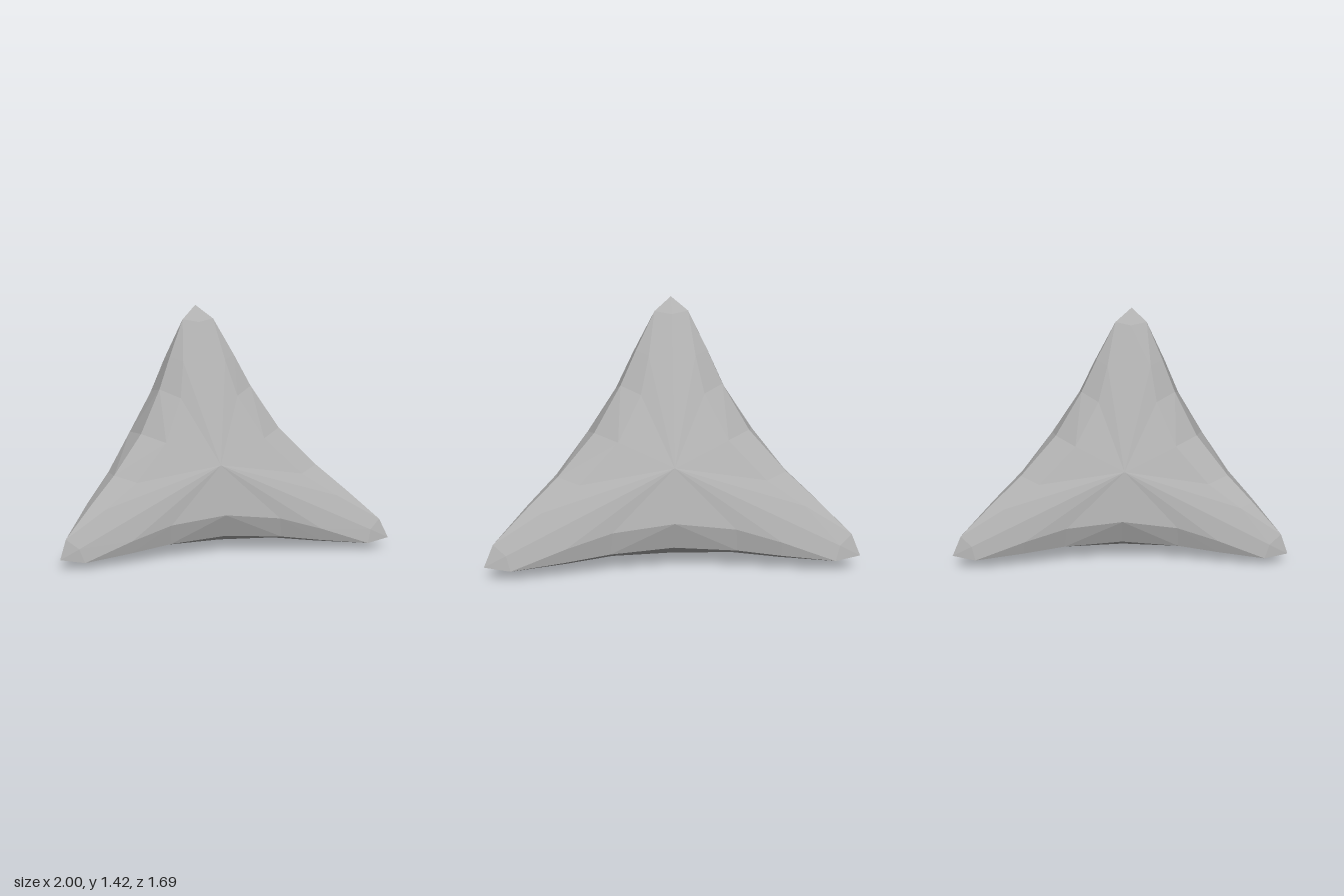
import * as THREE from 'three';

// Four tips of the concave tetrahedral body around its core
const core = new THREE.Vector3(-0.005, 0.42, -0.24);
const tips = [[-0.025, 1.435, -0.175], [1, 0.09, -0.81], [-1, 0.1, -0.805], [-0.015, 0.08, 0.85]]
  .map((p) => new THREE.Vector3(...p).sub(core));

// Half of an edge, from a tip to the middle: weights [near tip, far tip]
const ridge = [[0.955, 0.095], [0.78, 0.2], [0.625, 0.285], [0.43, 0.43]];
// Border line beside the ridge: weights [near tip, far tip, third tip of that face]
const border = [[0.95, 0.065, 0.065], [0.79, 0.215, 0.085], [0.64, 0.31, 0.135], [0.47, 0.47, 0.17]];

// Point from weighted tips
function blend(ids, weights) {
  const p = core.clone();
  weights.forEach((w, i) => p.addScaledVector(tips[ids[i]], w));
  return p;
}

// Collects triangles, always turned away from the core
function makeSkin() {
  const points = [];
  const tri = (a, b, c) => {
    const n = b.clone().sub(a).cross(c.clone().sub(a));
    const out = a.clone().add(b).add(c).divideScalar(3).sub(core);
    points.push(...(n.dot(out) > 0 ? [a, b, c] : [a, c, b]));
  };
  const geometry = () => new THREE.BufferGeometry().setFromPoints(points);
  return { tri, geometry };
}

export function createModel() {
  const group = new THREE.Group();
  const grey = new THREE.MeshStandardMaterial({ color: 0xb0b0b0, flatShading: true });
  grey.name = 'stone grey';

  const faces = makeSkin(), bevels = makeSkin(), caps = makeSkin();
  for (let a = 0; a < 4; a++) {
    for (let b = 0; b < 4; b++) {
      if (b === a) continue;
      for (let c = 0; c < 4; c++) {
        if (c === a || c === b) continue;
        // Each pass covers the half edge from tip a towards b, on the side of c
        const mid = ridge.map((w) => blend([a, b], w));
        const side = border.map((w) => blend([a, b, c], w));
        const centre = blend([a, b, c], [0.41, 0.41, 0.41]);
        for (let i = 0; i < 3; i++) {
          bevels.tri(mid[i], mid[i + 1], side[i + 1]);
          bevels.tri(mid[i], side[i + 1], side[i]);
          faces.tri(centre, side[i], side[i + 1]);
        }
        caps.tri(blend([a], [1]), mid[0], side[0]);
      }
    }
  }

  for (const [name, skin] of Object.entries({ sideFaces: faces, bevelledEdges: bevels, tipCaps: caps })) {
    const geometry = skin.geometry();
    geometry.computeVertexNormals();
    const mesh = new THREE.Mesh(geometry, grey);
    mesh.name = name;
    group.add(mesh);
  }
  group.name = 'concaveTetrahedron';
  return group;
}
